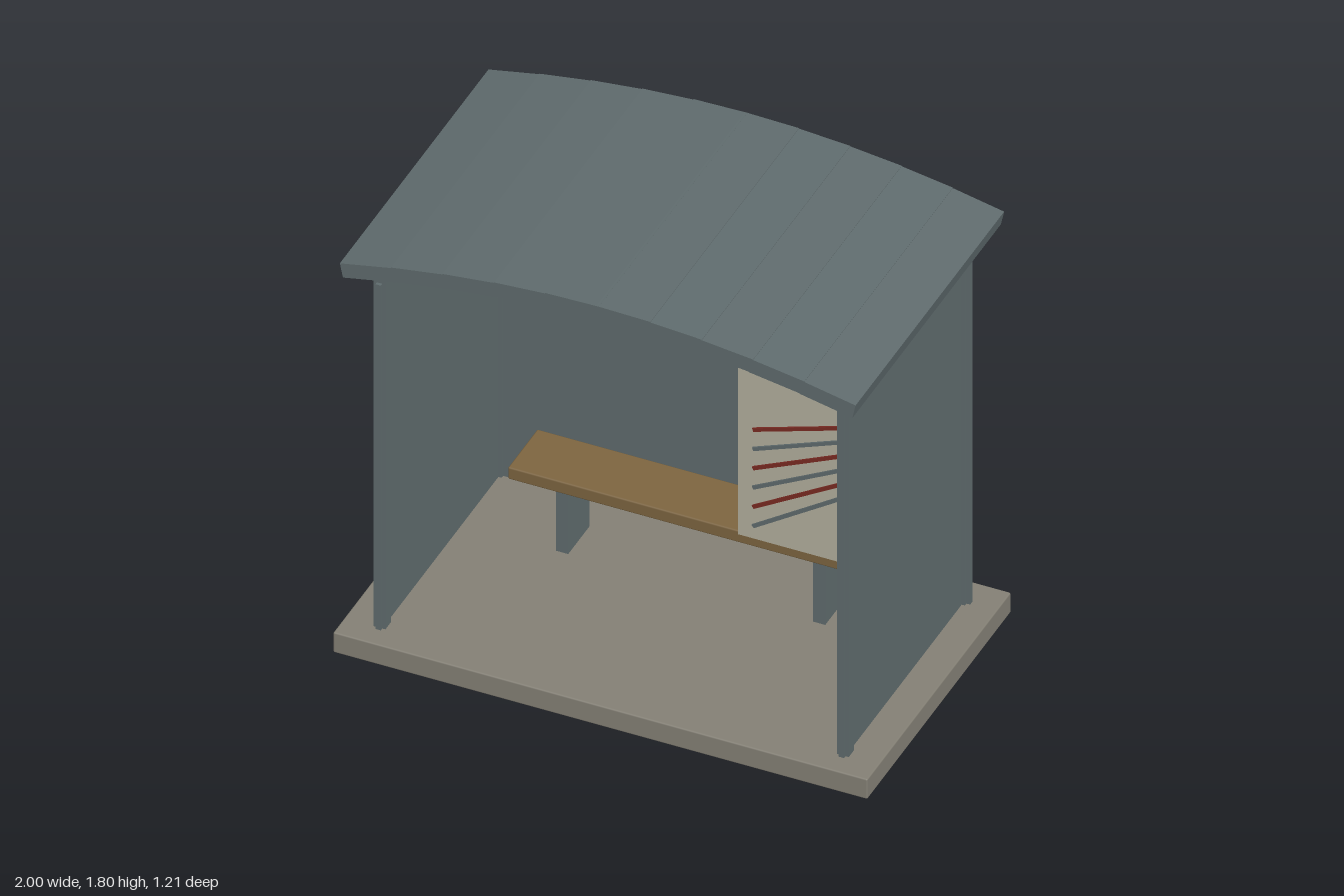
import * as THREE from 'three';
import { RoundedBoxGeometry } from 'three/addons/geometries/RoundedBoxGeometry.js';

function material(name, color) {
  const m = new THREE.MeshStandardMaterial({ color });
  m.name = name;
  return m;
}

export function createModel() {
  const slate = material('slate metal', 0x5f6b6d);
  const concrete = material('concrete', 0x848075);
  const wood = material('bench wood', 0x7d6540);
  const cream = material('board cream', 0xb3af9e);
  const red = material('line red', 0x7a2a22);

  const model = new THREE.Group();
  model.name = 'shelter';

  // Box given by its size and centre
  function add(name, mat, size, centre, bevel = 0) {
    const geometry = bevel
      ? new RoundedBoxGeometry(...size, 1, bevel)
      : new THREE.BoxGeometry(...size);
    const mesh = new THREE.Mesh(geometry, mat);
    mesh.name = name;
    mesh.position.set(...centre);
    model.add(mesh);
    return mesh;
  }

  // Floor slab
  add('floorSlab', concrete, [2, 0.085, 1.17], [0, 0.0425, 0], 0.006);

  // Corner posts and wall panels, each panel centred on its posts
  const postX = 0.867, postZ = 0.473;
  for (const sx of [-1, 1]) {
    for (const sz of [-1, 1]) {
      add('cornerPost', slate, [0.044, 1.65, 0.044], [sx * postX, 0.835, sz * postZ]);
    }
    add('sideWall', slate, [0.02, 1.465, 1.014], [sx * postX, 0.8175, 0]);
  }
  add('backWall', slate, [1.806, 1.465, 0.02], [0, 0.8175, -postZ]);

  // Curved roof: overlapping planks, tilted more towards the eaves
  const pitch = 0.1925, thick = 0.058, length = 0.202;
  for (const side of [-1, 1]) {
    let top = 1.797;
    for (let k = 0; k < 5; k++) {
      const tilt = 0.205 * (2 * k + 1) / 9;
      const drop = pitch * Math.tan(tilt);
      const x = pitch * (k + 0.5);
      const y = top - drop / 2;
      const plank = add('roofPlank', slate, [length, thick, 1.21],
        [side * (x - Math.sin(tilt) * thick / 2), y - Math.cos(tilt) * thick / 2, 0]);
      plank.rotation.z = -side * tilt;
      top -= drop + 0.002;
    }
  }

  // Bench
  add('benchSeat', wood, [1.34, 0.05, 0.24], [0, 0.385, -0.24], 0.006);
  for (const sx of [-1, 1]) {
    add('benchLeg', slate, [0.045, 0.34, 0.175], [sx * 0.481, 0.195, -0.24]);
  }

  // Notice board with slanted lines
  add('noticeBoard', cream, [0.43, 0.76, 0.035], [0.495, 0.932, 0.0525]);
  for (let i = 0; i < 6; i++) {
    const y1 = 1.017 - 0.082 * i;
    const y2 = 1.125 - 0.06 * i;
    const dx = 0.326, dy = y2 - y1;
    const line = add('boardLine', i % 2 ? slate : red,
      [Math.hypot(dx, dy), 0.014, 0.008], [0.5, (y1 + y2) / 2, 0.073]);
    line.rotation.z = Math.atan2(dy, dx);
  }

  return model;
}
